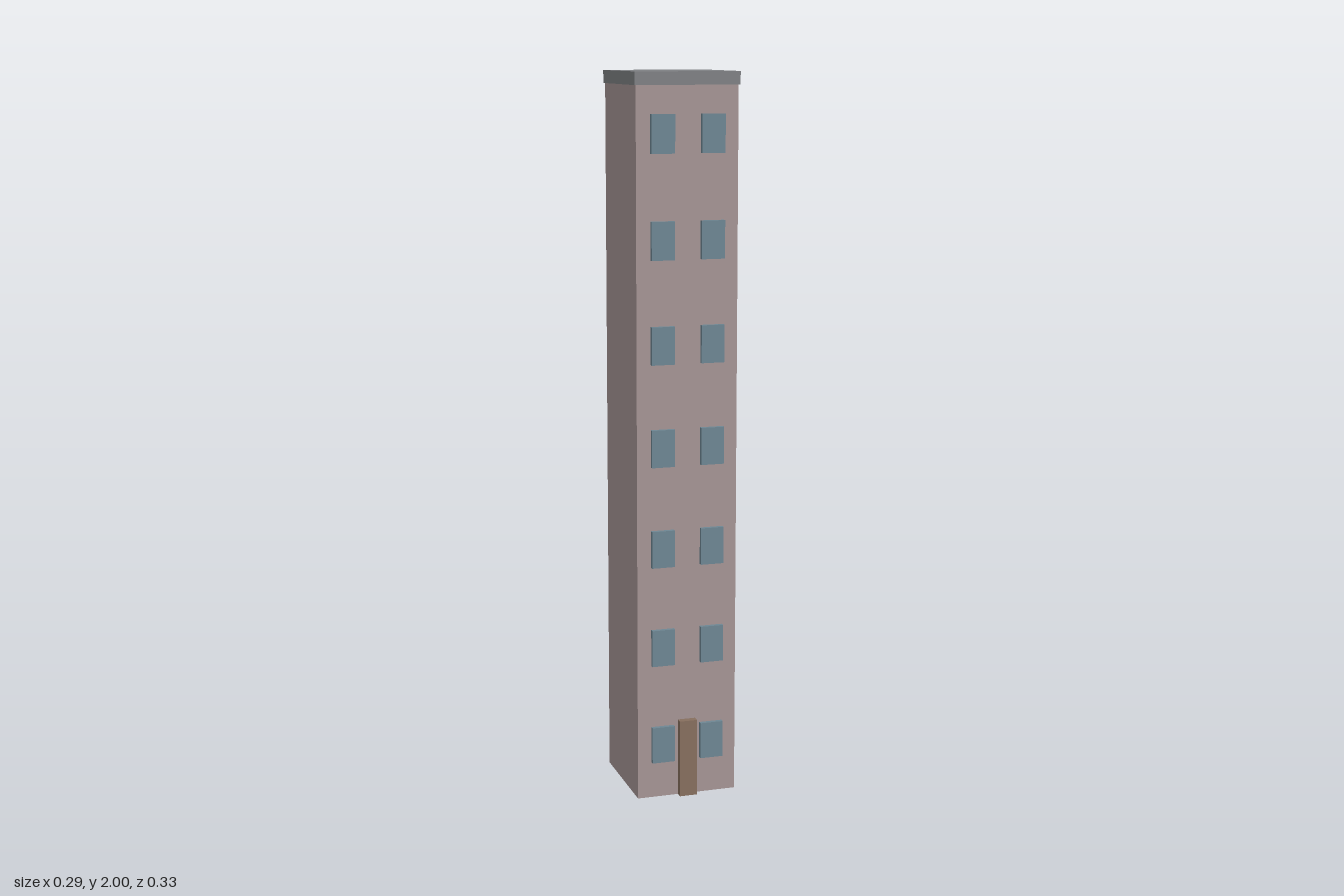
import * as THREE from 'three';

const material = (name, color) => {
  const m = new THREE.MeshStandardMaterial({ color });
  m.name = name;
  return m;
};

export function createModel() {
  const wall = material('wall plaster', 0xa69696);
  const slate = material('roof grey', 0x808285);
  const glass = material('window blue', 0x6f8895);
  const wood = material('door brown', 0x88705f);

  const model = new THREE.Group();
  model.name = 'towerBlock';

  const box = (name, mat, w, h, d, x, y, z, parent = model) => {
    const mesh = new THREE.Mesh(new THREE.BoxGeometry(w, h, d), mat);
    mesh.name = name;
    mesh.position.set(x, y, z);
    parent.add(mesh);
    return mesh;
  };

  const bodyTop = 1.965;
  const bodyDepth = 0.295;
  const midZ = -0.005;
  const floors = 7;
  const storey = bodyTop / floors;

  // Main block and flat roof slab
  box('body', wall, 0.284, bodyTop, bodyDepth, 0, bodyTop / 2, midZ);
  box('roof', slate, 0.292, 2 - bodyTop, 0.304, 0, (2 + bodyTop) / 2, midZ);

  // Entrance door on the front
  box('door', wood, 0.05, 0.22, 0.02, 0, 0.11, 0.152);

  // Two windows per storey on the front and back
  for (const [name, side] of [['frontWindows', 1], ['backWindows', -1]]) {
    const group = new THREE.Group();
    group.name = name;
    model.add(group);
    for (let i = 0; i < floors; i++) {
      for (const x of [-0.07, 0.07]) {
        box('window', glass, 0.065, 0.103, 0.02, x, (i + 0.55) * storey, midZ + side * 0.1495, group);
      }
    }
  }
  return model;
}
